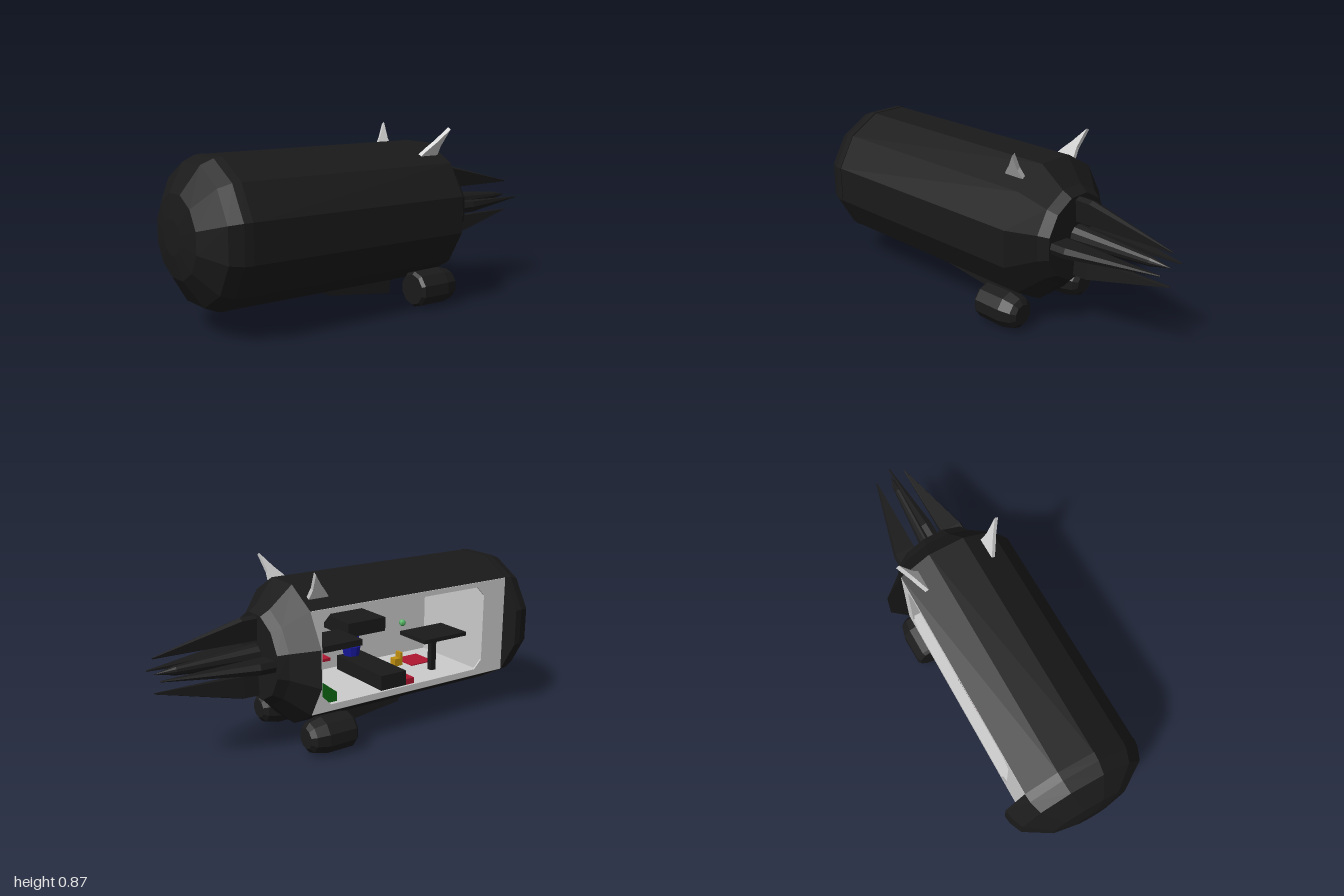
import * as THREE from 'three';

const AXIS_Y = 0.447;
const mat = (color) => new THREE.MeshStandardMaterial({ color, flatShading: true, side: THREE.DoubleSide });

export function createModel() {
  const model = new THREE.Group();
  const black = mat(0x1a1a1a), grey = mat(0xcccccc), red = mat(0xb01530);
  const green = mat(0x0f6a14), lightGreen = mat(0x50b060), blue = mat(0x1818a0), yellow = mat(0xc09010);

  const add = (name, geometry, material, x = 0, y = 0, z = 0) => {
    const mesh = new THREE.Mesh(geometry, material);
    mesh.name = name;
    mesh.position.set(x, y, z);
    model.add(mesh);
    return mesh;
  };
  // Box given by its minimum and maximum corners
  const box = (name, material, x0, x1, y0, y1, z0, z1) =>
    add(name, new THREE.BoxGeometry(x1 - x0, y1 - y0, z1 - z0), material, (x0 + x1) / 2, (y0 + y1) / 2, (z0 + z1) / 2);
  // Body of revolution about the x axis; profile is [x, radius]
  const turned = (profile, sides, start = 0, length = Math.PI * 2) =>
    new THREE.LatheGeometry(profile.map(([x, r]) => new THREE.Vector2(r, x)), sides, start, length).rotateZ(-Math.PI / 2);
  // Side profile in x and y, extruded along z and centred there
  const slab = (points, depth) =>
    new THREE.ExtrudeGeometry(new THREE.Shape(points.map(([x, y]) => new THREE.Vector2(x, y))),
      { depth, bevelEnabled: false }).translate(0, 0, -depth / 2);

  // Twelve-sided hull, with three panels left open at the back
  const deg = Math.PI / 180;
  add('hull', turned([[-0.8, 0.345], [0.36, 0.345]], 9, 225 * deg, 270 * deg), black, 0, AXIS_Y);
  add('rearDome', turned([[-1, 0], [-1, 0.08], [-0.98, 0.19], [-0.9, 0.317], [-0.84, 0.343], [-0.8, 0.348], [-0.8, 0]],
    12, 15 * deg), black, 0, AXIS_Y);
  add('noseCollar', turned([[0.36, 0], [0.36, 0.346], [0.46, 0.236], [0.505, 0.206], [0.505, 0]],
    12, 15 * deg), black, 0, AXIS_Y);

  // Drill: a central spike and four fangs around it
  add('centreSpike', turned([[0.5, 0.055], [0.9, 0.022], [1, 0]], 12), black, 0, AXIS_Y + 0.007);
  const ring = (x, inner, outer, w) => [
    [x, inner, -w * 0.7], [x, inner, w * 0.7], [x, outer - w * 0.4, w],
    [x, outer, 0], [x, outer - w * 0.4, -w]];
  for (let i = 0; i < 4; i++) {
    const rings = [ring(0.5, 0.08, 0.195, 0.026), ring(0.58, 0.08, 0.193, 0.026), ring(1, 0.077, 0.083, 0.003)];
    const index = [];
    for (let s = 0; s < 2; s++) for (let k = 0; k < 5; k++) {
      const a = s * 5 + k, b = s * 5 + (k + 1) % 5;
      index.push(a, b, a + 5, b, b + 5, a + 5);
    }
    for (let k = 1; k < 4; k++) index.push(10, 10 + k, 11 + k);
    const g = new THREE.BufferGeometry();
    g.setAttribute('position', new THREE.Float32BufferAttribute(rings.flat(2), 3));
    g.setIndex(index);
    g.computeVertexNormals();
    add('drillFang', g, black, 0, AXIS_Y).rotation.x = i * Math.PI / 2;
  }

  // Horns and lower thrusters, mirrored on both sides
  for (const s of [-1, 1]) {
    const horn = add('horn', slab([[0.22, 0], [0.33, 0], [0.325, 0.06], [0.34, 0.157], [0.285, 0.08], [0.25, 0.04]], 0.02),
      grey, 0, 0.727, s * 0.172);
    horn.rotation.x = s * 32 * deg;
    add('thruster', turned([[0.14, 0], [0.14, 0.075], [0.155, 0.088], [0.3, 0.09], [0.36, 0.074], [0.38, 0.05], [0.38, 0]],
      10, 18 * deg), black, 0, 0.088, s * 0.225);
  }
  add('bellyScoop', slab([[-0.27, 0.13], [-0.25, 0.092], [0.11, 0.047], [0.11, 0.13]], 0.18), black);

  // Cabin shell
  const Z = 0.243;
  box('cabinFloor', grey, -0.8, 0.355, 0.205, 0.215, -Z, Z);
  box('cabinCeiling', grey, -0.8, 0.355, 0.68, 0.69, -Z, Z);
  box('cabinWall', grey, -0.8, 0.355, 0.205, 0.69, Z - 0.01, Z);
  box('rearBulkhead', grey, -0.8, -0.67, 0.205, 0.69, -Z, Z);
  box('frontBulkhead', grey, 0.34, 0.355, 0.205, 0.69, -Z, Z);

  // Frame round the opening, with cut corners
  const frame = new THREE.Shape([[-0.8, 0.203], [0.358, 0.203], [0.358, 0.69], [-0.8, 0.69]].map((p) => new THREE.Vector2(...p)));
  const x0 = -0.66, x1 = 0.3, y0 = 0.235, y1 = 0.665, c = 0.045;
  frame.holes.push(new THREE.Path([[x0 + c, y0], [x0, y0 + c], [x0, y1 - c], [x0 + c, y1],
    [x1 - c, y1], [x1, y1 - c], [x1, y0 + c], [x1 - c, y0]].map((p) => new THREE.Vector2(...p))));
  add('openingFrame', new THREE.ExtrudeGeometry(frame, { depth: 0.008, bevelEnabled: false }), grey, 0, 0, -0.245);

  // Control desk with its wheel
  add('controlDesk', slab([[0.18, 0.215], [0.31, 0.215], [0.31, 0.33], [0.27, 0.33], [0.18, 0.26]], 0.38), green, 0, 0, 0.01);
  const wheel = add('controlWheel', new THREE.TorusGeometry(0.025, 0.005, 6, 12), lightGreen, 0.19, 0.31, 0.02);
  wheel.rotation.y = Math.PI / 2;

  // Counters, shelves and table
  box('counter', black, -0.22, -0.07, 0.215, 0.29, -0.19, 0.2);
  box('benchCushion', red, -0.27, -0.22, 0.215, 0.245, -0.19, 0.2);
  box('frontShelf', black, 0.05, 0.32, 0.47, 0.5, -0.2, 0.0);
  box('middleShelf', black, -0.2, 0.02, 0.46, 0.53, -0.04, 0.18);
  box('table', black, -0.61, -0.34, 0.4, 0.42, -0.18, 0.02);
  box('tableLeg', black, -0.49, -0.46, 0.215, 0.4, -0.09, -0.06);

  // Seats and small fittings
  add('blueSeat', new THREE.CylinderGeometry(0.05, 0.04, 0.06, 10), blue, -0.14, 0.31, 0.17);
  box('blueSeatBack', blue, -0.21, -0.09, 0.33, 0.42, 0.2, 0.225);
  for (const x of [0.09, 0.14]) box('redPost', red, x, x + 0.018, 0.215, 0.27, 0.13, 0.15);
  box('redCushion', red, 0.02, 0.13, 0.3, 0.315, 0.12, 0.22);
  box('redMat', red, -0.56, -0.42, 0.215, 0.22, 0.02, 0.16);
  box('yellowStool', yellow, -0.38, -0.34, 0.215, 0.255, 0.06, 0.1);
  box('yellowStoolBack', yellow, -0.39, -0.375, 0.215, 0.285, 0.06, 0.1);
  add('lamp', new THREE.SphereGeometry(0.018, 8, 6), lightGreen, -0.4, 0.44, 0.08);
  return model;
}
